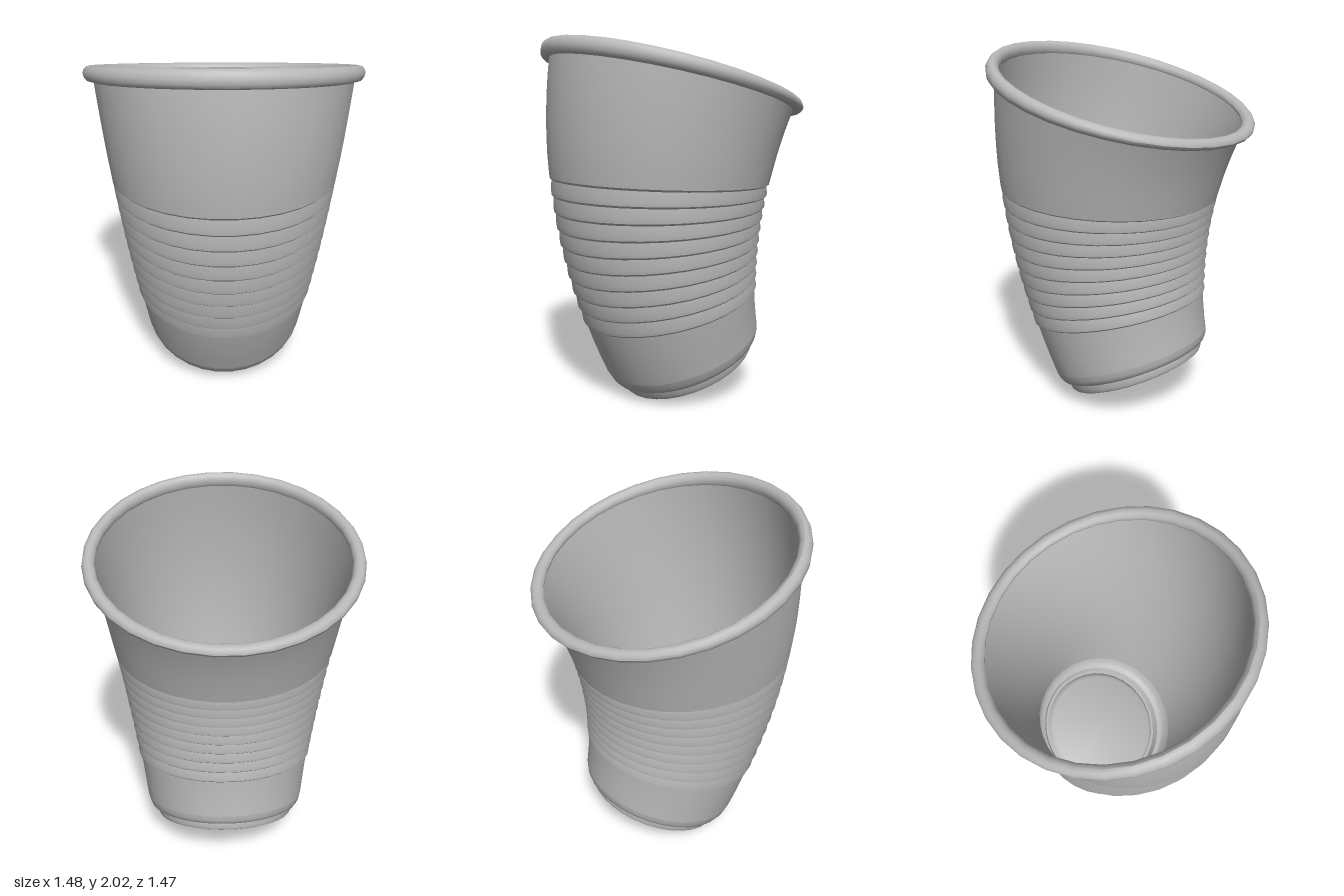
import * as THREE from 'three';
import { toCreasedNormals } from 'three/addons/utils/BufferGeometryUtils.js';

const SIDES = 32;
const LENGTH = 1.608; // length of the bent axis from base to rim
const TILT0 = -0.367, TILT1 = 0.262; // axis lean at base and rim
const DX = 0.63, DZ = -0.777; // horizontal direction the cup bends towards
const BASE_S = 0.07, BASE_Y = 0.2;

// Bends an upright shape along a circular arc.
function bend(geo) {
  const pos = geo.attributes.position;
  const R = LENGTH / (TILT1 - TILT0);
  for (let i = 0; i < pos.count; i++) {
    const x = pos.getX(i), h = pos.getY(i), z = pos.getZ(i);
    const p = x * DX + z * DZ, q = z * DX - x * DZ;
    const a = TILT0 + h / R;
    const s = BASE_S + R * (Math.cos(TILT0) - Math.cos(a)) + p * Math.cos(a);
    const y = BASE_Y + R * (Math.sin(a) - Math.sin(TILT0)) - p * Math.sin(a);
    pos.setXYZ(i, s * DX - q * DZ, y, s * DZ + q * DX);
  }
  return toCreasedNormals(geo, 0.6);
}

const wallRadius = (h) => 0.455 + 0.245 * h / LENGTH;

export function createModel() {
  const group = new THREE.Group();
  const plastic = new THREE.MeshStandardMaterial({ color: 0xb8b8b8, side: THREE.DoubleSide });
  plastic.name = 'grey plastic';

  const add = (name, points) => {
    const geo = new THREE.LatheGeometry(points.map(([r, h]) => new THREE.Vector2(r, h)), SIDES);
    const mesh = new THREE.Mesh(bend(geo), plastic);
    mesh.name = name;
    group.add(mesh);
  };

  // Underside: recessed disc, rounded foot ring and rounded lower corner
  add('foot', [
    [0, -0.02], [0.345, -0.02], [0.35, -0.045], [0.362, -0.064], [0.38, -0.07],
    [0.397, -0.062], [0.408, -0.042], [0.41, -0.005], [0.425, -0.008],
    [0.442, 0.003], [0.454, 0.025], [wallRadius(0.06), 0.06],
  ]);

  // Outer wall: plain foot band, ten stepped ridges, plain upper band
  const wall = [];
  for (let i = 0; i <= 3; i++) {
    const h = 0.06 + i * 0.087;
    wall.push([wallRadius(h) - 0.002 * i, h]);
  }
  const first = 0.337, gap = 0.0785;
  for (let i = 0; i < 10; i++) {
    const h = first + i * gap;
    wall.push([wallRadius(h) - 0.007, h - 0.004]);
    wall.push([wallRadius(h) + 0.005, h + 0.006]);
    wall.push([wallRadius(h) + 0.008, h + 0.024]);
  }
  for (let i = 1; i <= 6; i++) {
    const h = 1.07 + i * 0.087;
    wall.push([wallRadius(h) + 0.006 - i * 0.001, h]);
  }
  add('outerWall', wall);

  // Rolled rim
  const rim = [];
  for (let i = 0; i <= 12; i++) {
    const a = i / 12 * Math.PI * 2;
    rim.push([0.714 + 0.036 * Math.cos(a), LENGTH + 0.038 * Math.sin(a)]);
  }
  add('rim', rim);

  // Smooth inner wall
  const inner = [];
  for (let i = 0; i <= 14; i++) {
    const h = LENGTH - i * (LENGTH - 0.06) / 14;
    inner.push([wallRadius(h) - 0.016, h]);
  }
  add('innerWall', inner);

  // Inside floor with a shallow trough around it
  add('floor', [
    [wallRadius(0.06) - 0.016, 0.06], [0.435, 0.03], [0.42, 0.012], [0.395, 0.004],
    [0.38, -0.03], [0.365, -0.03], [0.35, -0.008], [0.335, 0], [0, 0],
  ]);

  return group;
}
